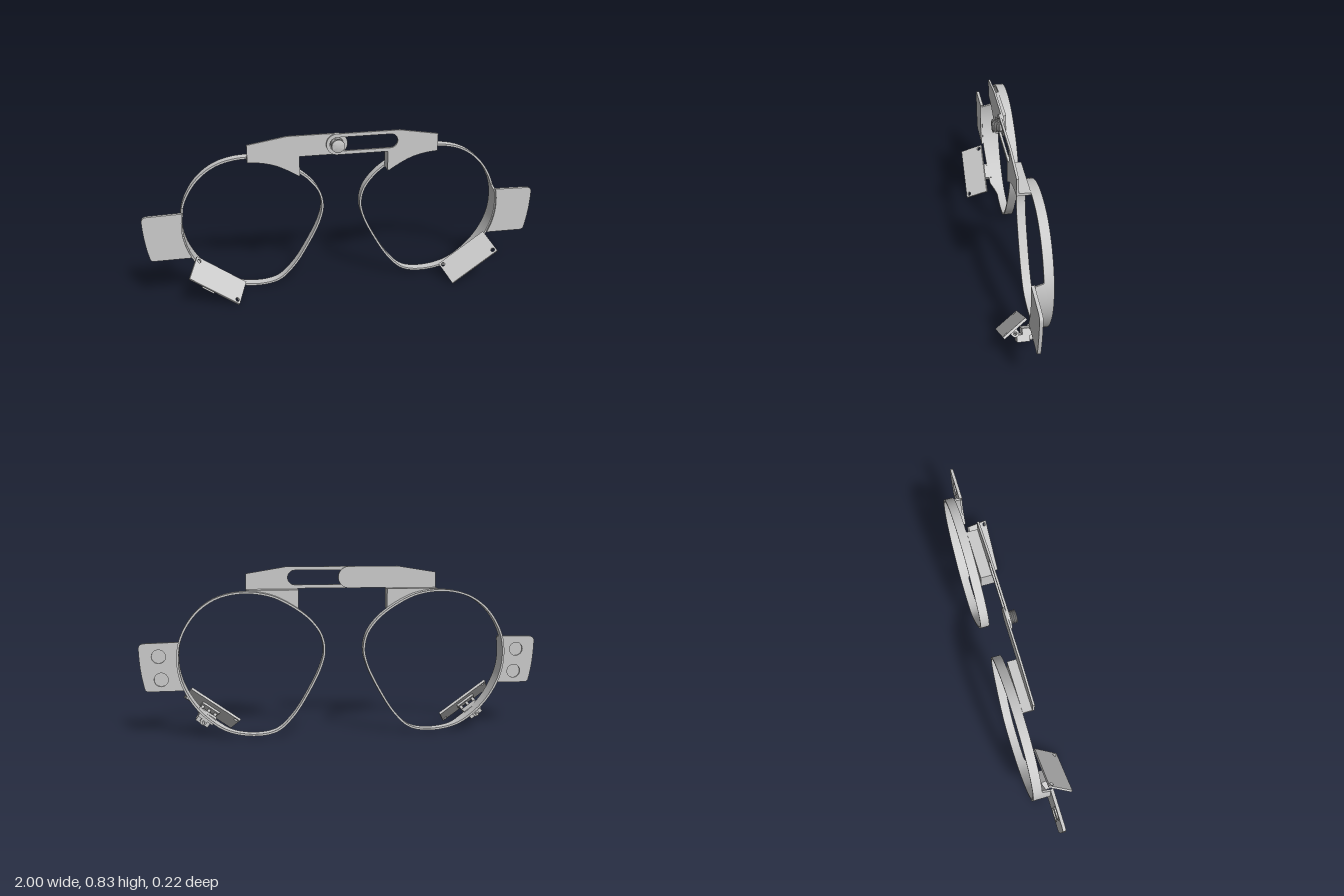
import * as THREE from 'three';
import { toCreasedNormals } from 'three/addons/utils/BufferGeometryUtils.js';

const mat = new THREE.MeshStandardMaterial({ color: 0xcccccc, side: THREE.DoubleSide });
const V = (x, y) => new THREE.Vector2(x, y);

function add(parent, name, geo, x = 0, y = 0, z = 0) {
  const m = new THREE.Mesh(geo, mat);
  m.name = name;
  m.position.set(x, y, z);
  parent.add(m);
  return m;
}

// Extrude a shape between two depths
function slab(shape, z0, z1) {
  const g = new THREE.ExtrudeGeometry(shape, { depth: z1 - z0, bevelEnabled: false, curveSegments: 20 });
  return toCreasedNormals(g.translate(0, 0, z0), 0.5);
}

function circle(x, y, r) {
  return new THREE.Path().absarc(x, y, r, 0, Math.PI * 2, true);
}

// Rim outline, counter-clockwise from the top
const N = 160, BACK = -0.118, FRONT = -0.073;
const outline = new THREE.CatmullRomCurve3([
  [0.5, 0.73], [0.36, 0.713], [0.25, 0.66], [0.165, 0.595], [0.11, 0.52], [0.093, 0.44], [0.11, 0.36],
  [0.17, 0.235], [0.25, 0.11], [0.33, 0.037], [0.44, 0.017], [0.575, 0.042], [0.665, 0.1], [0.74, 0.18],
  [0.797, 0.29], [0.815, 0.4], [0.798, 0.51], [0.73, 0.625], [0.63, 0.7],
].map(([x, y]) => new THREE.Vector3(x, y, 0)), true);
const outer = [], inner = [];
for (let i = 0; i < N; i++) {
  const p = outline.getPointAt(i / N), t = outline.getTangentAt(i / N);
  outer.push(V(p.x, p.y));
  inner.push(V(p.x - t.y * 0.01, p.y + t.x * 0.01));
}

// The rim is deeper beside the temple tab and tapers off below it
function rimFront({ x, y }) {
  if (x < 0.45 || y > 0.48) return FRONT;
  if (y > 0.23) return -0.026;
  if (y > 0.06) return THREE.MathUtils.mapLinear(y, 0.06, 0.23, -0.042, -0.026);
  return THREE.MathUtils.mapLinear(Math.max(y, 0.03), 0.03, 0.06, FRONT, -0.042);
}

function rimGeometry() {
  const pos = [], idx = [];
  for (let i = 0; i < N; i++) {
    const o = outer[i], n = inner[i], f = rimFront(o);
    pos.push(o.x, o.y, BACK, o.x, o.y, f, n.x, n.y, f, n.x, n.y, BACK);
    for (let k = 0; k < 4; k++) {
      const a = i * 4 + k, b = i * 4 + (k + 1) % 4;
      const c = ((i + 1) % N) * 4 + k, d = ((i + 1) % N) * 4 + (k + 1) % 4;
      idx.push(a, c, b, b, c, d);
    }
  }
  const g = new THREE.BufferGeometry();
  g.setAttribute('position', new THREE.Float32BufferAttribute(pos, 3));
  g.setIndex(idx);
  return toCreasedNormals(g, 0.5);
}

// Half of the bridge: plate with a round end at x = cx, and a foot down to the rim
const MID = 0.7885, R = 0.0535;
const arch = inner.filter((p) => p.y > 0.5 && p.x > 0.222 && p.x < 0.473).sort((a, b) => a.x - b.x);
const archStart = V(0.22, arch[0].y - 0.002), archEnd = V(0.475, arch[arch.length - 1].y);

function bridgeHalf(side, cx, slotted, z0, z1) {
  const s = new THREE.Shape();
  s.moveTo(0.475, 0.81);
  s.lineTo(0.28, MID + R);
  s.lineTo(cx, MID + R);
  s.absarc(cx, MID, R, Math.PI / 2, Math.PI * 1.5, false);
  s.lineTo(0.22, MID - R);
  for (const p of [archStart, ...arch, archEnd]) s.lineTo(p.x, p.y);
  if (slotted) {
    const slot = new THREE.Path();
    slot.absarc(cx, MID, 0.036, Math.PI * 1.5, Math.PI / 2, true);
    slot.absarc(0.233, MID, 0.036, Math.PI / 2, -Math.PI / 2, true);
    slot.closePath();
    s.holes.push(slot);
  }
  add(side, slotted ? 'slottedBridgePlate' : 'solidBridgePlate', slab(s, z0, z1));
  const foot = new THREE.Shape([V(0.475, 0.733), V(0.22, 0.733), archStart, ...arch, archEnd]);
  add(side, 'bridgeFoot', slab(foot, FRONT, z0));
}

// Temple tab: solid front layer, back layer with two round recesses
function templeTab(side) {
  const shape = () => {
    const s = new THREE.Shape();
    const edge = outer.filter((p) => p.x > 0.6 && p.y > 0.24 && p.y < 0.475);
    s.moveTo(0.773, 0.237);
    for (const p of edge) s.lineTo(p.x - 0.004, p.y);
    s.lineTo(0.8, 0.48);
    s.lineTo(0.97, 0.476);
    s.quadraticCurveTo(1, 0.476, 1, 0.45);
    s.quadraticCurveTo(0.998, 0.34, 0.975, 0.25);
    s.quadraticCurveTo(0.972, 0.237, 0.955, 0.236);
    return s;
  };
  const back = shape();
  back.holes.push(circle(0.905, 0.41, 0.034), circle(0.895, 0.295, 0.034));
  const tab = new THREE.Group();
  tab.name = 'templeTab';
  add(tab, 'tabFront', slab(shape(), -0.025, -0.017));
  add(tab, 'tabBack', slab(back, -0.033, -0.025));
  side.add(tab);
}

// Tilted board on a small hinge; local x runs along the rim, local y points outward
function boardMount(side, flip) {
  const g = new THREE.Group();
  g.name = 'boardMount';
  g.position.set(0.66, 0.1, 0);
  g.rotation.z = Math.atan2(-0.58, -0.81);
  side.add(g);

  const w = 0.145, h = 0.067;
  const s = new THREE.Shape([V(-w, -h), V(w, -h), V(w, h), V(-w, h)]);
  for (const k of [-1, 1]) s.holes.push(circle(k * (w - 0.018), k * flip * (h - 0.018), 0.01));
  const board = add(g, 'board', slab(s, -0.012, 0), -0.011, -0.032, 0.047);
  board.rotation.x = 0.956;

  // Hinge body, rim bracket and pivot pin
  add(g, 'rimBracket', new THREE.BoxGeometry(0.085, 0.035, 0.055), -0.015, 0.008, -0.028);
  add(g, 'hingeBody', new THREE.BoxGeometry(0.07, 0.034, 0.06), -0.018, 0.036, -0.004);
  const pin = (name, r, len, z) => {
    const c = toCreasedNormals(new THREE.CylinderGeometry(r, r, len, 16), 0.5).rotateX(Math.PI / 2);
    add(g, name, c, -0.018, 0.036, z);
  };
  pin('pinHead', 0.017, 0.018, -0.043);
  pin('pinTip', 0.007, 0.024, -0.062);

  // Knuckles with a hole along the rim direction, webbed to the board
  const k = new THREE.Shape();
  k.moveTo(0.018, -0.02);
  k.lineTo(0.018, 0.008);
  k.absarc(0, 0.008, 0.018, 0, Math.PI, false);
  k.lineTo(-0.018, -0.02);
  k.holes.push(circle(0, 0.008, 0.008));
  for (const x of [-0.055, -0.018, 0.019]) {
    const geo = slab(k, -0.007, 0.007).rotateY(Math.PI / 2).rotateX(-0.615);
    add(g, 'hingeKnuckle', geo, x, 0.003, 0.037);
  }
  const base = add(g, 'boardBase', new THREE.BoxGeometry(0.1, 0.05, 0.01), -0.018, -0.018, 0.037);
  base.rotation.x = 0.956;
}

// Threaded bolt standing out of the slot
function boltGeometry() {
  const pts = [V(0, -0.02), V(0.033, -0.02), V(0.033, -0.008)];
  for (let i = 0; i < 4; i++) {
    const y = -0.007 + i * 0.0085;
    pts.push(V(0.026, y), V(0.033, y + 0.003), V(0.033, y + 0.0055), V(0.026, y + 0.0085));
  }
  pts.push(V(0, 0.027));
  return toCreasedNormals(new THREE.LatheGeometry(pts, 32), 0.5).rotateX(Math.PI / 2);
}

export function createModel() {
  const model = new THREE.Group();
  model.name = 'eyewearFrame';
  for (const sx of [1, -1]) {
    const side = new THREE.Group();
    side.name = sx > 0 ? 'leftHalf' : 'rightHalf';
    side.scale.x = sx;
    add(side, 'rim', rimGeometry());
    if (sx > 0) bridgeHalf(side, -0.035, true, -0.018, -0.007);
    else bridgeHalf(side, 0.035, false, -0.028, -0.018);
    templeTab(side);
    boardMount(side, sx > 0 ? -1 : 1);
    model.add(side);
  }
  add(model, 'bridgeBolt', boltGeometry(), -0.035, MID, 0);
  return model;
}
